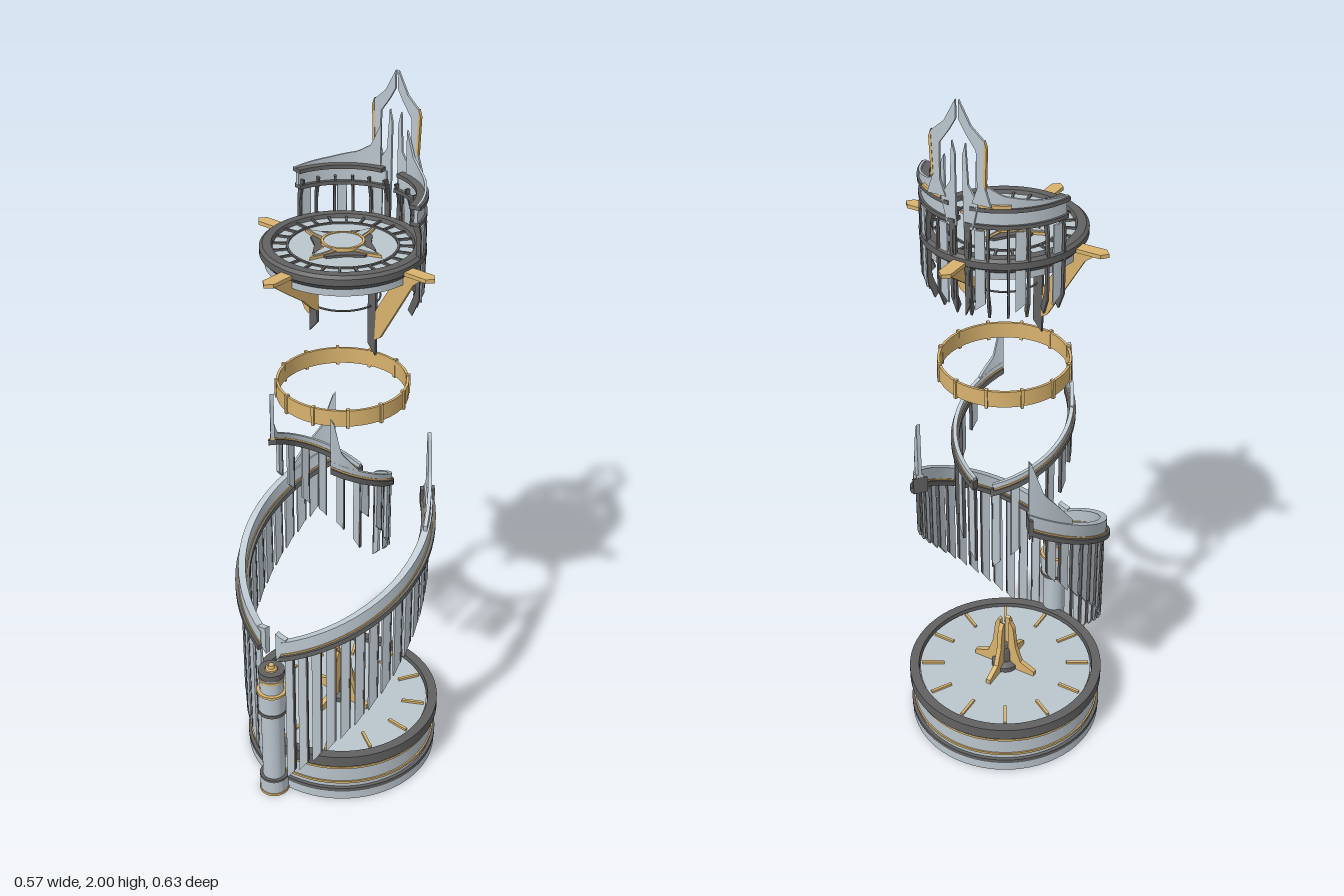
import * as THREE from 'three';
import { toCreasedNormals } from 'three/addons/utils/BufferGeometryUtils.js';

const mat = (name, color) => {
  const m = new THREE.MeshStandardMaterial({ color, side: THREE.DoubleSide });
  m.name = name;
  return m;
};

export function createModel() {
  const light = mat('pale steel', 0xbac5cd);
  const dark = mat('dark iron', 0x626162);
  const gold = mat('gold', 0xd9b36e);

  const root = new THREE.Group();
  root.name = 'spiralStairTower';
  const rad = Math.PI / 180;

  function add(parent, name, geo, m, x = 0, y = 0, z = 0, ry = 0) {
    const mesh = new THREE.Mesh(geo, m);
    mesh.name = name;
    mesh.position.set(x, y, z);
    mesh.rotation.y = ry;
    parent.add(mesh);
    return mesh;
  }
  function group(parent, name, z = 0) {
    const g = new THREE.Group();
    g.name = name;
    g.position.z = z;
    parent.add(g);
    return g;
  }
  // Body of revolution from [radius, height] pairs
  const lathe = (pts, n = 64) =>
    toCreasedNormals(new THREE.LatheGeometry(pts.map(p => new THREE.Vector2(...p)), n), 0.5);
  // Closed ring with a rectangular section
  const ring = (r0, r1, y0, y1) => lathe([[r0, y0], [r1, y0], [r1, y1], [r0, y1], [r0, y0]]);
  // Flat plate in the xy plane, centred on z = 0
  function plate(pts, t) {
    const shape = new THREE.Shape(pts.map(p => new THREE.Vector2(...p)));
    return new THREE.ExtrudeGeometry(shape, { depth: t, bevelEnabled: false }).translate(0, 0, -t / 2);
  }
  // Curved wall: angles in degrees from the front, heights as functions of the angle.
  // side -1 mirrors it to the other half.
  function arc(r0, r1, from, to, bottom, top, side, n = 24) {
    const [a, b] = side > 0 ? [from, to] : [-to, -from];
    const sections = [];
    for (let i = 0; i <= n; i++) {
      const d = a + (b - a) * i / n, t = d * rad;
      const lo = bottom(Math.abs(d)), hi = top(Math.abs(d));
      sections.push([[r1, lo], [r1, hi], [r0, hi], [r0, lo]]
        .map(([r, y]) => [r * Math.sin(t), y, r * Math.cos(t)]));
    }
    const pos = [];
    const quad = (p, q, r, s) => pos.push(...p, ...q, ...r, ...p, ...r, ...s);
    for (let i = 0; i < n; i++) {
      for (let k = 0; k < 4; k++) {
        const S = sections[i], T = sections[i + 1], j = (k + 1) % 4;
        quad(S[k], T[k], T[j], S[j]);
      }
    }
    quad(...sections[0]);
    quad(...[...sections[n]].reverse());
    const g = new THREE.BufferGeometry();
    g.setAttribute('position', new THREE.Float32BufferAttribute(pos, 3));
    return toCreasedNormals(g, 0.5);
  }
  // Piecewise linear interpolation through [angle, value] pairs
  const ramp = (...p) => d => {
    let i = 0;
    while (i < p.length - 2 && d > p[i + 1][0]) i++;
    const f = (d - p[i][0]) / (p[i + 1][0] - p[i][0]);
    return p[i][1] + f * (p[i + 1][1] - p[i][1]);
  };

  const tower = group(root, 'tower', -0.028);

  // Round base, open underneath
  const base = group(tower, 'base');
  add(base, 'baseFoot', ring(0.258, 0.28, 0, 0.03), light);
  add(base, 'baseFootBand', ring(0.258, 0.282, 0.03, 0.042), dark);
  add(base, 'baseWall', ring(0.262, 0.272, 0.042, 0.13), light);
  add(base, 'baseTrim', ring(0.26, 0.276, 0.056, 0.063), gold);
  add(base, 'baseTrim', ring(0.26, 0.276, 0.112, 0.119), gold);
  add(base, 'baseRim', ring(0.258, 0.285, 0.13, 0.165), dark);
  add(base, 'baseFloor', lathe([[0, 0.14], [0.254, 0.14], [0.254, 0.155], [0, 0.155]]), light);
  add(base, 'baseUnderside', new THREE.CylinderGeometry(0.252, 0.252, 0.012, 64), dark, 0, 0.133);
  for (let i = 0; i < 12; i++) {
    const a = i * 30 * rad, r = 0.215;
    add(base, 'floorMark', new THREE.BoxGeometry(0.008, 0.008, 0.065), gold,
      r * Math.sin(a), 0.158, r * Math.cos(a), a);
  }
  // Finned pedestal on the floor
  const fin = plate([[0.013, 0.155], [0.1, 0.155], [0.1, 0.17], [0.055, 0.19], [0.038, 0.24],
    [0.03, 0.31], [0.02, 0.33], [0.013, 0.325]], 0.014);
  for (let i = 0; i < 4; i++) add(base, 'pedestalFin', fin, gold, 0, 0, 0, i * Math.PI / 2);
  add(base, 'pedestalCore', lathe([[0, 0.155], [0.04, 0.155], [0.04, 0.17], [0.022, 0.18],
    [0.022, 0.21], [0.017, 0.23], [0, 0.23]], 24), dark);

  // Front column
  const column = group(tower, 'frontColumn', 0.3);
  add(column, 'columnShaft', lathe([[0, 0], [0.033, 0], [0.033, 0.3], [0.04, 0.305], [0.04, 0.36],
    [0.034, 0.37], [0.034, 0.43], [0, 0.43]], 32), light);
  add(column, 'columnFoot', ring(0.03, 0.041, 0.006, 0.05), light);
  for (const [r, y, h, m] of [[0.043, 0, 0.008, gold], [0.042, 0.05, 0.008, dark], [0.042, 0.295, 0.01, dark],
    [0.043, 0.365, 0.008, gold], [0.036, 0.41, 0.008, gold], [0.037, 0.425, 0.018, dark]])
    add(column, 'columnBand', ring(0.018, r, y, y + h), m);
  add(column, 'columnCap', lathe([[0.02, 0.43], [0.016, 0.446], [0.01, 0.448], [0.008, 0.458], [0, 0.46]], 24), gold);

  // One flight of railing: trim, panel, hanging slats and an end blade
  function flight(parent, name, side, o) {
    const g = group(parent, name);
    const y = o.y, off = k => d => y(d) + k;
    add(g, 'railTrim', arc(o.r - o.w, o.r + o.w, o.from, o.to, off(-o.h), off(-o.h + 0.016), side), dark);
    add(g, 'railLine', arc(o.r - o.w * 0.62, o.r + o.w * 0.62, o.from, o.to, off(-o.h + 0.016), off(-o.h + 0.021), side), gold);
    add(g, 'railPanel', arc(o.r - o.w * 0.5, o.r + o.w * 0.5, o.from, o.to, off(-o.h + 0.021), y, side), light);
    for (let i = 0; i < o.count; i++) {
      const d = o.first + i * o.step, e = d + o.slat, f = e + o.slat * 0.2;
      const low = x => o.low(d) + (x - d) * o.cut;
      add(g, 'slat', arc(o.r - 0.004, o.r + 0.004, d, e, low, off(-o.h), side, 2), light);
      add(g, 'slatEdge', arc(o.r - 0.005, o.r + 0.005, e, f, low, off(-o.h), side, 1), dark);
    }
    const [b0, b1] = o.bladeRange;
    add(g, 'endBlade', arc(o.r - 0.005, o.r + 0.005, b0, b1, off(-0.01), o.blade, side, 16), light);
    const [p0, p1] = o.post;
    add(g, 'endPost', arc(o.r - o.w, o.r + o.w, p0, p1, off(-o.h), off(-0.01), side, 2), dark);
  }

  const lower = group(tower, 'lowerFlights', 0.034);
  const upper = group(tower, 'upperFlights', 0.044);
  for (const s of [1, -1]) {
    flight(lower, s > 0 ? 'leftLowerFlight' : 'rightLowerFlight', s, {
      r: 0.259, w: 0.02, h: 0.06, from: 8, to: 140, y: d => 0.533 + 0.0026 * d,
      count: 14, first: 10, step: 8.7, slat: 5, low: d => 0.005 + 0.0052 * d, cut: 0.007,
      bladeRange: [112, 140], blade: ramp([112, 0.84], [122, 0.9], [131, 0.95], [139, 1.06], [140, 1.06]),
      post: [138, 140.5],
    });
    // Pointed start of the lower rail
    add(lower, 'railTip', arc(0.251, 0.267, 4, 11, d => 0.47 + 0.004 * d,
      ramp([4, 0.575], [6, 0.57], [11, 0.565]), s, 6), light);
    flight(upper, s > 0 ? 'leftUpperFlight' : 'rightUpperFlight', s, {
      r: 0.157, w: 0.011, h: 0.035, from: 40, to: 170, y: d => 1.16 - 0.0015 * d,
      count: 6, first: 70, step: 18.5, slat: 7, low: ramp([70, 0.93], [105, 0.8], [165, 0.64]), cut: -0.003,
      bladeRange: [40, 66], blade: ramp([40, 1.22], [43, 1.21], [50, 1.12], [66, 1.065]),
      post: [168, 170.5],
    });
  }

  // Floating gold ring with studs
  const band = group(tower, 'goldRing');
  add(band, 'ringBand', ring(0.167, 0.174, 1.19, 1.235), gold);
  for (let i = 0; i < 12; i++) {
    const a = (i * 30 + 15) * rad;
    add(band, 'ringStud', new THREE.BoxGeometry(0.008, 0.054, 0.012), gold,
      0.172 * Math.sin(a), 1.212, 0.172 * Math.cos(a), a);
  }

  // Upper platform
  const deck = group(tower, 'platform');
  add(deck, 'platformBody', lathe([[0, 1.555], [0.14, 1.555], [0.18, 1.565], [0.208, 1.595], [0.208, 1.612],
    [0.2, 1.619], [0.178, 1.619], [0.174, 1.605], [0, 1.605]]), dark);
  add(deck, 'platformBand', ring(0.16, 0.195, 1.563, 1.594), light);
  add(deck, 'platformFloor', new THREE.CylinderGeometry(0.174, 0.174, 0.004, 64), light, 0, 1.607);
  add(deck, 'floorRing', ring(0.135, 0.141, 1.606, 1.613), dark);
  for (let i = 0; i < 24; i++) {
    const a = (i + 0.5) * 15 * rad;
    add(deck, 'floorBar', new THREE.BoxGeometry(0.006, 0.008, 0.036), dark,
      0.157 * Math.sin(a), 1.61, 0.157 * Math.cos(a), a);
  }
  // Star inlay
  const flat = (pts, t) => plate(pts, t).rotateX(-Math.PI / 2);
  const lobes = [];
  for (let i = 0; i < 4; i++) {
    const c = Math.cos(i * Math.PI / 2), s = Math.sin(i * Math.PI / 2);
    for (const [x, y] of [[0.088, -0.022], [0.088, 0.022], [0.05, 0.05]]) lobes.push([x * c - y * s, x * s + y * c]);
  }
  add(deck, 'starShadow', flat(lobes, 0.006), dark, 0, 1.612);
  const gilt = flat([[0.045, -0.022], [0.088, -0.013], [0.125, 0], [0.088, 0.013], [0.045, 0.022]], 0.007);
  const inlay = flat([[0.045, -0.014], [0.087, -0.008], [0.112, 0], [0.087, 0.008], [0.045, 0.014]], 0.007);
  for (let i = 0; i < 4; i++) {
    add(deck, 'starRay', gilt, gold, 0, 1.614, 0, i * Math.PI / 2);
    add(deck, 'starRayInlay', inlay, light, 0, 1.617, 0, i * Math.PI / 2);
  }
  add(deck, 'starRing', ring(0.048, 0.055, 1.605, 1.624), gold);
  add(deck, 'starCentre', new THREE.CylinderGeometry(0.05, 0.05, 0.016, 40), light, 0, 1.614);

  // Four gold arms with brackets below
  const arm = flat([[0.2, -0.017], [0.272, -0.017], [0.287, 0], [0.272, 0.017], [0.2, 0.017]], 0.01);
  const longBracket = plate([[0.26, 1.597], [0.18, 1.585], [0.112, 1.47], [0.108, 1.385], [0.125, 1.395], [0.225, 1.57]], 0.01);
  const shortBracket = plate([[0.27, 1.597], [0.15, 1.59], [0.1, 1.525], [0.098, 1.465], [0.125, 1.485], [0.15, 1.51], [0.2, 1.545]], 0.012);
  const strut = plate([[0.085, 1.56], [0.085, 1.37], [0.11, 1.34], [0.11, 1.56]], 0.008);
  for (let i = 0; i < 4; i++) {
    const a = i * Math.PI / 2, sideArm = i % 2 === 0;
    add(deck, 'arm', arm, gold, 0, 1.599, 0, a);
    add(deck, 'bracket', sideArm ? longBracket : shortBracket, gold, 0, 0, 0, a);
    if (sideArm) add(deck, 'strut', strut, dark, 0, 0, 0, a);
  }
  add(deck, 'hangingRing', new THREE.TorusGeometry(0.095, 0.0025, 6, 48).rotateX(Math.PI / 2), dark, 0, 1.475);

  // Balustrade and crest around the back
  const crest = group(tower, 'backBalustrade');
  const slatShape = plate([[0.178, 1.72], [0.196, 1.72], [0.207, 1.67], [0.207, 1.5], [0.19, 1.455],
    [0.178, 1.47], [0.196, 1.52], [0.196, 1.66]], 0.006);
  for (const s of [1, -1]) {
    for (let i = 0; i < 6; i++)
      add(crest, 'balusterBar', slatShape, dark, 0, 0, 0, (s * (106 + i * 13.6) - 90) * rad);
    for (let i = 0; i < 3; i++) {
      const d = 108 + i * 27.2;
      add(crest, 'balusterPanel', arc(0.199, 0.204, d, d + 7, x => 1.5 - (x - d) * 0.003, () => 1.69, s, 4), light);
    }
    add(crest, 'handrail', arc(0.18, 0.206, 103, 176, () => 1.697, () => 1.707, s), dark);
    add(crest, 'railFascia', arc(0.19, 0.2, 103, 174, () => 1.707, () => 1.74, s), light);
    add(crest, 'capRail', arc(0.178, 0.208, 102, 172, () => 1.74, () => 1.75, s), dark);
    add(crest, 'swoop', arc(0.197, 0.203, 102, 168, () => 1.75,
      ramp([102, 1.752], [130, 1.765], [150, 1.78], [160, 1.8], [168, 1.86]), s), light);
    add(crest, 'swoopTrim', arc(0.204, 0.211, 145, 166, () => 1.752, () => 1.76, s, 10), gold);
    // Split spire
    const m = pts => pts.map(([x, y]) => [s * x, y]);
    add(crest, 'spire', plate(m([[0.085, 1.76], [0.068, 1.81], [0.07, 1.915], [0.035, 1.945], [0.004, 2],
      [0.004, 1.955], [0.022, 1.925], [0.048, 1.89], [0.05, 1.8], [0.035, 1.76]]), 0.006), light, 0, 0, -0.203);
    add(crest, 'spireEdge', plate(m([[0.072, 1.8], [0.076, 1.9], [0.07, 1.918], [0.066, 1.81]]), 0.008), gold, 0, 0, -0.203);
    add(crest, 'innerSpire', plate(m([[0.01, 1.69], [0.034, 1.69], [0.05, 1.76], [0.024, 1.8],
      [0.018, 1.9], [0.01, 1.87]]), 0.006), light, 0, 0, -0.2);
    add(crest, 'tailBlade', plate(m([[0.012, 1.7], [0.028, 1.7], [0.028, 1.5], [0.012, 1.46]]), 0.008), dark, 0, 0, -0.2);
  }
  return root;
}
